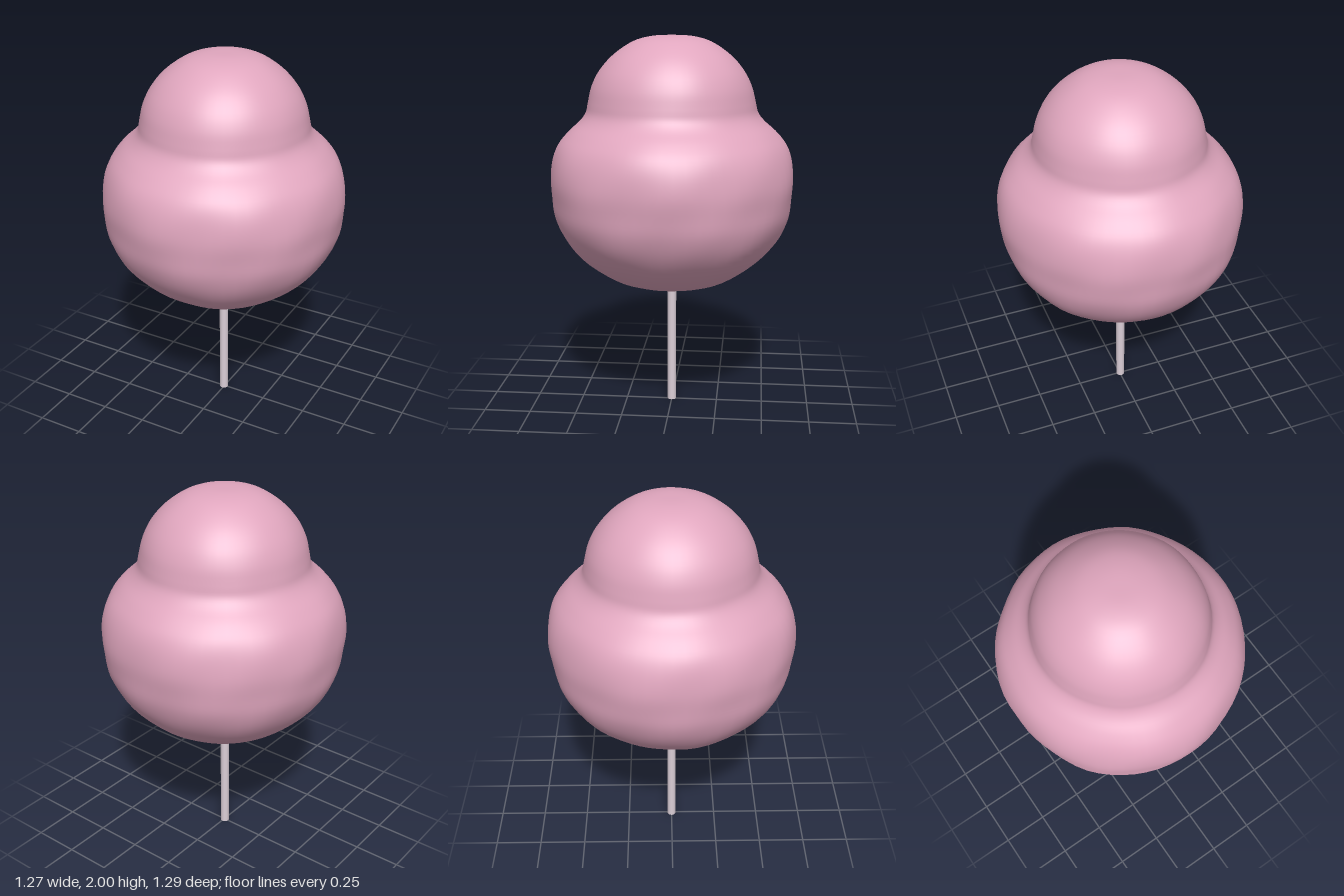
import * as THREE from 'three';
import { mergeVertices } from 'three/addons/utils/BufferGeometryUtils.js';

const candy = new THREE.MeshStandardMaterial({ color: 0xe0a6be });
candy.name = 'candy pink';
const paper = new THREE.MeshStandardMaterial({ color: 0xdccfd8 });
paper.name = 'pale stick';

// [radius, height] from the dimpled underside, over the wide cloud and soft neck, to the cap
const profile = [
  [0, 0.705], [0.1, 0.697], [0.2, 0.697], [0.3, 0.718], [0.41, 0.785],
  [0.5, 0.865], [0.57, 0.96], [0.612, 1.06], [0.627, 1.16], [0.634, 1.26],
  [0.62, 1.36], [0.588, 1.44], [0.535, 1.505], [0.475, 1.56], [0.443, 1.605],
  [0.43, 1.66], [0.41, 1.74], [0.37, 1.82], [0.3, 1.9], [0.2, 1.968],
  [0.1, 1.996], [0, 2.0],
];

// Turned cloud of spun sugar with gentle lumps that fade out towards the cap
function cloudGeometry() {
  const curve = new THREE.SplineCurve(profile.map(([r, y]) => new THREE.Vector2(r, y)));
  const points = curve.getPoints(84);
  points[0].x = points[points.length - 1].x = 0;
  let geo = new THREE.LatheGeometry(points, 64);
  geo.deleteAttribute('uv');
  geo.deleteAttribute('normal');
  geo = mergeVertices(geo, 1e-4);
  const pos = geo.attributes.position;
  for (let i = 0; i < pos.count; i++) {
    const x = pos.getX(i), y = pos.getY(i), z = pos.getZ(i);
    const a = Math.atan2(z, x);
    const lump = 0.011 - 0.006 * THREE.MathUtils.smoothstep(y, 1.4, 1.7);
    const wave = Math.sin(4 * a + 5 * y) * 0.4
      + Math.sin(7 * a - 9 * y + 1.2) * 0.35
      + Math.sin(11 * a + 17 * y) * 0.25;
    const k = 1 + lump * wave;
    pos.setXYZ(i, x * k, y, z * k * 1.015);
  }
  geo.computeVertexNormals();
  return geo;
}

export function createModel() {
  const group = new THREE.Group();
  group.name = 'cottonCandy';

  // Two-tiered puff
  const cloud = new THREE.Mesh(cloudGeometry(), candy);
  cloud.name = 'cloud';
  group.add(cloud);

  // Holding stick
  const stick = new THREE.Mesh(new THREE.CylinderGeometry(0.024, 0.024, 0.74, 12), paper);
  stick.name = 'stick';
  stick.position.set(-0.004, 0.37, 0);
  group.add(stick);

  return group;
}
